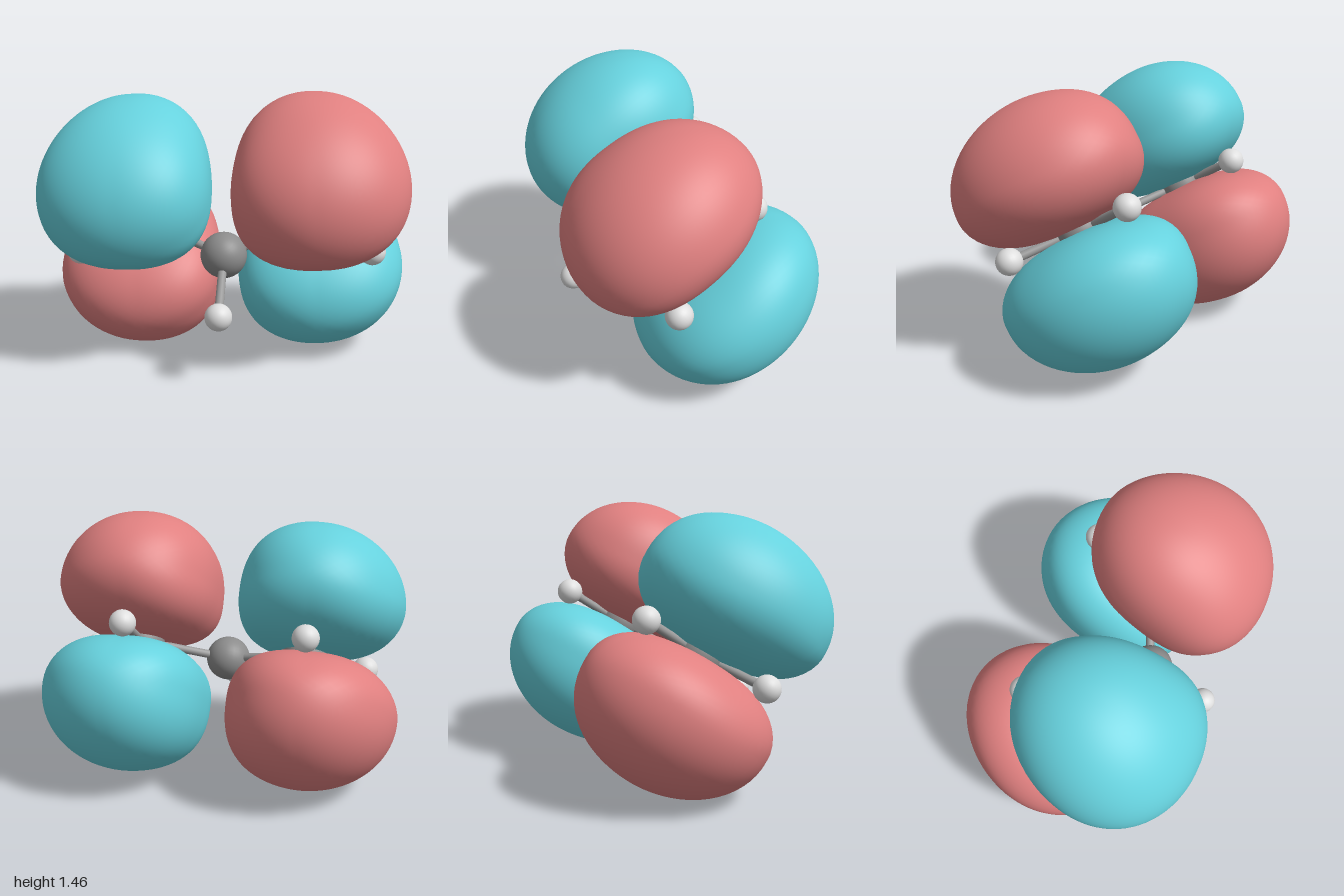
import * as THREE from 'three';
import { mergeVertices } from 'three/addons/utils/BufferGeometryUtils.js';

const material = (name, color) => {
  const m = new THREE.MeshStandardMaterial({ color });
  m.name = name;
  return m;
};

export function createModel() {
  const red = material('red', 0xe08080);
  const teal = material('teal', 0x66d1dd);
  const carbonGrey = material('carbonGrey', 0x8c8c8c);
  const bondGrey = material('bondGrey', 0x999999);
  const white = material('white', 0xdedede);

  // Molecule frame: x along the chain, y normal to its plane, z along the middle hydrogen
  const model = new THREE.Group();
  model.name = 'molecule';
  const frame = new THREE.Group();
  frame.name = 'molecularPlane';
  frame.position.set(0.025, 0.608, 0.19);
  frame.quaternion.setFromRotationMatrix(new THREE.Matrix4().makeBasis(
    new THREE.Vector3(0.99, 0.027, -0.1445).normalize(),
    new THREE.Vector3(0.056, 0.838, 0.541).normalize(),
    new THREE.Vector3(0.136, -0.545, 0.829).normalize()
  ));
  model.add(frame);

  const add = (name, geometry, mat) => {
    const mesh = new THREE.Mesh(geometry, mat);
    mesh.name = name;
    frame.add(mesh);
    return mesh;
  };

  // Atoms
  const carbonBall = new THREE.SphereGeometry(0.125, 32, 20);
  const hydrogenBall = new THREE.SphereGeometry(0.071, 28, 18);
  const carbon = (name, p) => add(name, carbonBall, carbonGrey).position.copy(p);
  const hydrogen = (name, p) => add(name, hydrogenBall, white).position.copy(p);

  // Round rod joining two atoms
  const bond = (name, a, b) => {
    const dir = b.clone().sub(a);
    const rod = add(name, new THREE.CylinderGeometry(0.023, 0.023, dir.length(), 16), bondGrey);
    rod.position.copy(a).addScaledVector(dir, 0.5);
    rod.quaternion.setFromUnitVectors(new THREE.Vector3(0, 1, 0), dir.normalize());
  };

  // Orbital lobe: rounded dome, flatter towards the plane and the middle, a little wider in front
  const lobeGeometry = (side, up) => {
    let g = new THREE.IcosahedronGeometry(1, 14);
    g.deleteAttribute('uv');
    g.deleteAttribute('normal');
    g = mergeVertices(g);
    const pos = g.attributes.position;
    const d = new THREE.Vector3();
    for (let i = 0; i < pos.count; i++) {
      d.fromBufferAttribute(pos, i).normalize();
      const out = d.x * side, away = d.y * up;
      const p = 2 + 0.5 * Math.max(0, -away) + 0.4 * Math.max(0, -out);
      const sum = (Math.abs(out) / (out > 0 ? 0.49 : 0.43)) ** p
        + (Math.abs(away) / (away > 0 ? 0.42 : 0.3)) ** p
        + (Math.abs(d.z) / 0.53) ** p;
      d.multiplyScalar(sum ** (-1 / p));
      pos.setXYZ(i, d.x * (1 + 0.18 * d.z), d.y, d.z);
    }
    g.computeVertexNormals();
    return g;
  };

  // Middle of the chain
  const middle = new THREE.Vector3();
  const frontH = new THREE.Vector3(0, 0, 0.404);
  carbon('middleCarbon', middle);
  hydrogen('frontHydrogen', frontH);
  bond('frontBond', middle, frontH);

  // Both ends, mirrored, with one lobe above and one below the plane
  for (const side of [1, -1]) {
    const label = side > 0 ? 'left' : 'right';
    const end = new THREE.Vector3(side * 0.459, 0, -0.244);
    const outerH = new THREE.Vector3(side * 0.79, 0, -0.025);
    const backH = new THREE.Vector3(side * 0.478, 0, -0.627);
    carbon(label + 'Carbon', end);
    hydrogen(label + 'OuterHydrogen', outerH);
    hydrogen(label + 'BackHydrogen', backH);
    bond(label + 'ChainBond', middle, end);
    bond(label + 'OuterBond', end, outerH);
    bond(label + 'BackBond', end, backH);
    for (const up of [1, -1]) {
      const lobe = add(label + (up > 0 ? 'Upper' : 'Lower') + 'Lobe',
        lobeGeometry(side, up), side * up > 0 ? red : teal);
      lobe.position.set(side * 0.488, up * 0.31, end.z);
    }
  }
  return model;
}
